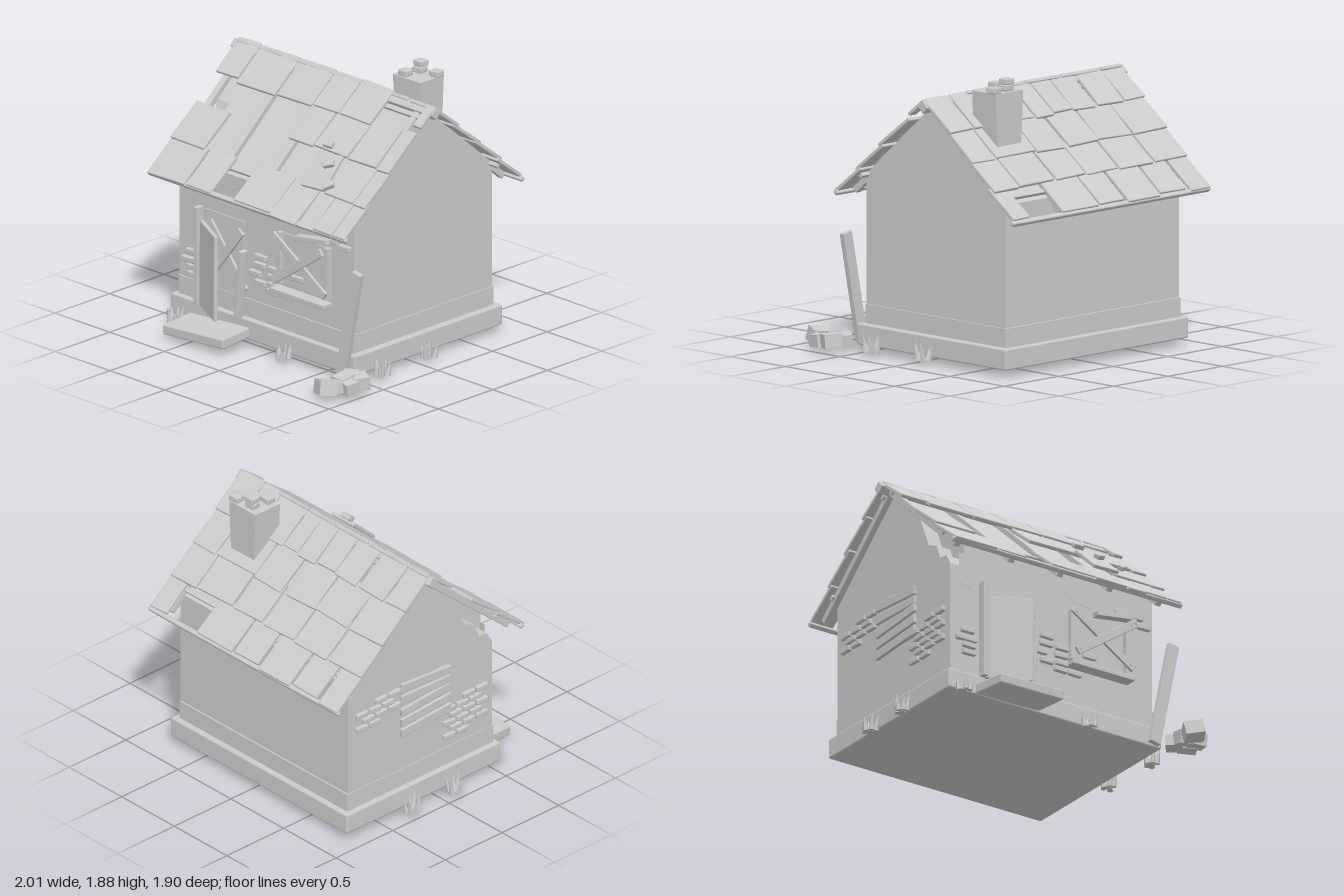
import * as THREE from 'three';
import { RoundedBoxGeometry } from 'three/addons/geometries/RoundedBoxGeometry.js';

const grey = new THREE.MeshStandardMaterial({ color: 0xcccccc });
const faceted = new THREE.MeshStandardMaterial({ color: 0xcccccc, flatShading: true });

export function createModel() {
  const root = new THREE.Group();
  root.name = 'ruinedCottage';
  let seed = 7;
  const rnd = (a, b) => {
    seed = (seed * 16807) % 2147483647;
    return a + (b - a) * seed / 2147483647;
  };
  const group = (name, parent = root) => {
    const g = new THREE.Group();
    g.name = name;
    parent.add(g);
    return g;
  };
  const add = (parent, name, geo, mat = grey) => {
    const m = new THREE.Mesh(geo, mat);
    m.name = name;
    parent.add(m);
    return m;
  };
  // Softly bevelled block: size, position, rotation
  const block = (parent, name, [w, h, d], p, r = [0, 0, 0], bevel = 0.006) => {
    const m = add(parent, name, new RoundedBoxGeometry(w, h, d, 1, Math.min(bevel, w / 3, h / 3, d / 3)));
    m.position.set(...p);
    m.rotation.set(...r);
    return m;
  };
  // Board between two points in the front plane
  const board = (parent, name, x0, y0, x1, y1, w, z, t = 0.02) =>
    block(parent, name, [Math.hypot(x1 - x0, y1 - y0), w, t], [(x0 + x1) / 2, (y0 + y1) / 2, z],
      [0, 0, Math.atan2(y1 - y0, x1 - x0)], 0.004);
  // Slice of the house cross-section (z, y) between two x positions
  const slice = (name, pts, x0, x1) => {
    const s = new THREE.Shape(pts.map(([z, y]) => new THREE.Vector2(-z, y)));
    const geo = new THREE.ExtrudeGeometry(s, { depth: x1 - x0, bevelEnabled: false });
    geo.rotateY(Math.PI / 2);
    add(root, name, geo).position.x = x0;
  };

  // Plinth, skirting and walls; the left front corner is broken away
  block(root, 'plinth', [1.68, 0.14, 1.36], [-0.05, 0.112, -0.124], [0, 0, 0], 0.012);
  block(root, 'skirting', [1.6, 0.16, 1.285], [-0.053, 0.23, -0.122], [0, 0, 0], 0.003);
  const backHalf = [[-0.12, 1.67], [-0.755, 1.12], [-0.755, 0.17], [0.513, 0.17]];
  slice('mainWalls', [...backHalf, [0.513, 1.12]], -0.74, 0.743);
  slice('brokenLeftWall', [...backHalf, [0.513, 0.95], [0.47, 1.02], [0.4, 1.03], [0.36, 1.13],
    [0.27, 1.17], [0.22, 1.29], [0.16, 1.425]], -0.85, -0.74);

  // Flaked plaster patches
  const patch = (pts, x, z, ry = 0) => {
    const s = new THREE.Shape(pts.map((p) => new THREE.Vector2(...p)));
    const m = add(root, 'plasterPatch', new THREE.ExtrudeGeometry(s, { depth: 0.004, bevelEnabled: false }));
    m.position.set(x, 0, z);
    m.rotation.y = ry;
  };
  patch([[-0.78, 0.83], [-0.67, 0.8], [-0.5, 0.92], [-0.33, 1.04], [-0.78, 1.04]], 0, 0.511);
  patch([[0.06, 0.98], [0.13, 0.92], [0.25, 0.92], [0.28, 0.97], [0.17, 1.02]], 0, 0.511);
  patch([[-0.2, 0.6], [-0.12, 0.65], [0.2, 0.6], [0.28, 0.5], [0.05, 0.39], [-0.19, 0.44]], 0, 0.511);
  patch([[-0.54, 1.17], [-0.42, 1.15], [-0.38, 1.25], [-0.44, 1.32], [-0.53, 1.3]], -0.848, 0, -Math.PI / 2);

  // Roof slopes: local z runs down the slope, local y points outward
  const A = 0.716, SIN = Math.sin(A), COS = Math.cos(A);
  const roof = group('roof');
  const slope = (name, side, rows) => {
    const g = group(name, roof);
    g.position.set(0, 1.775, -0.12);
    g.rotation.x = side * A;
    for (const x of [-0.87, -0.44, -0.055, 0.335, 0.72])
      block(g, 'rafter', [0.045, 0.045, 1.0], [x, -0.065, side * 0.545], [0, 0, 0], 0.005);
    for (const d of [0.11, 0.87])
      block(g, 'purlin', [1.72, 0.03, 0.035], [-0.05, -0.055, side * d], [0, 0, 0], 0.005);
    block(g, 'eaveBatten', [1.81, 0.035, 0.035], [-0.05, -0.032, side * 1.095], [0, 0, 0], 0.01);
    // Each tile: left x, right x, start and end distance down the slope
    for (const row of rows) for (const [x0, x1, d0, d1] of row) {
      const len = d1 - d0 + 0.035;
      block(g, 'roofTile', [x1 - x0, 0.026, len], [(x0 + x1) / 2, -0.024 + rnd(-0.003, 0.003), side * (d1 - len / 2)],
        [-side * 0.06, rnd(-0.035, 0.035), rnd(-0.008, 0.008)], 0.007);
    }
    return g;
  };
  // Front tiles are listed by height, back tiles by depth
  const byY = (list) => list.map(([a, b, hi, lo]) => [a, b, Math.max(0.035, (1.775 - hi) / SIN), (1.775 - lo) / SIN]);
  const byZ = (near, far, xs) => xs.map(([a, b]) =>
    [a, b, (-0.12 - near) / COS + 0.02, (-0.12 - far) / COS + rnd(-0.015, 0.015)]);
  const front = slope('frontRoof', 1, [
    byY([[-0.94, -0.745, 1.77, 1.585], [-0.73, -0.385, 1.75, 1.565], [-0.37, -0.06, 1.76, 1.575],
      [-0.05, 0.18, 1.75, 1.585], [0.19, 0.47, 1.77, 1.585], [0.79, 0.86, 1.74, 1.645]]),
    byY([[-0.07, 0.15, 1.58, 1.405], [0.16, 0.465, 1.58, 1.41], [0.475, 0.725, 1.59, 1.405], [0.735, 0.845, 1.6, 1.4]]),
    byY([[-0.945, -0.64, 1.41, 1.23], [0.47, 0.73, 1.4, 1.22], [0.735, 0.845, 1.4, 1.215]]),
    byY([[-0.945, -0.615, 1.22, 1.045], [-0.6, -0.375, 1.23, 1.05], [-0.17, 0.165, 1.23, 1.055], [0.17, 0.41, 1.22, 1.04],
      [0.42, 0.56, 1.21, 1.04], [0.565, 0.73, 1.22, 1.05], [0.735, 0.845, 1.22, 1.05]]),
  ]);
  slope('backRoof', -1, [
    byZ(-0.14, -0.36, [[-0.945, -0.76], [-0.75, -0.52], [-0.49, -0.29], [-0.28, -0.11], [-0.1, 0.06], [0.07, 0.2],
      [0.21, 0.46], [0.46, 0.62], [0.635, 0.845]]),
    byZ(-0.34, -0.56, [[-0.945, -0.635], [-0.625, -0.32], [-0.31, -0.04], [0, 0.25], [0.26, 0.62], [0.63, 0.84]]),
    byZ(-0.53, -0.75, [[-0.945, -0.645], [-0.625, -0.32], [-0.305, -0.02], [-0.005, 0.26], [0.28, 0.6], [0.61, 0.84]]),
    byZ(-0.73, -0.945, [[-0.945, -0.77], [-0.74, -0.51], [-0.49, -0.2], [-0.175, 0.05], [0.065, 0.395], [0.695, 0.845]]),
  ]);
  // Slipped tile and loose bricks on the front slope
  block(front, 'slippedTile', [0.2, 0.026, 0.27], [0.37, 0.012, 0.71], [0.02, 0.06, 0]);
  for (const [x, d, r] of [[0.305, 0.53, 0], [0.405, 0.66, 0.5], [0.51, 0.8, 0.7]])
    block(front, 'looseBrick', [0.08, 0.035, 0.045], [x, 0.04, d], [0, r, 0], 0.008);
  block(roof, 'ridgeBeam', [1.84, 0.066, 0.066], [-0.055, 1.697, -0.12], [Math.PI / 4, 0, 0], 0.008);

  // Chimney, narrower towards its foot, with loose bricks
  const chimney = group('chimney');
  const stack = new THREE.BoxGeometry(0.25, 0.5, 0.215);
  const sp = stack.attributes.position;
  for (let i = 0; i < sp.count; i++) if (sp.getY(i) < 0) sp.setX(i, sp.getX(i) * 0.82);
  stack.computeVertexNormals();
  add(chimney, 'chimneyStack', stack).position.set(0.44, 1.54, -0.383);
  for (const [x, y, z, r] of [[0.41, 1.81, -0.43, 0.1], [0.41, 1.852, -0.435, 0], [0.54, 1.81, -0.45, 0.05], [0.39, 1.812, -0.315, 0]])
    block(chimney, 'chimneyBrick', [0.078, 0.042, 0.07], [x, y, z], [0, r, 0.04], 0.009);

  // Doorway with leaning posts, crossed boards and a hanging door
  const door = group('doorway');
  block(door, 'doorRecess', [0.36, 0.65, 0.012], [-0.43, 0.505, 0.512]);
  board(door, 'doorPost', -0.622, 0.18, -0.622, 0.85, 0.036, 0.565, 0.06);
  board(door, 'doorPost', -0.26, 0.18, -0.215, 0.65, 0.036, 0.565, 0.06);
  board(door, 'doorBoard', -0.57, 0.36, -0.25, 0.77, 0.06, 0.545);
  board(door, 'doorBoard', -0.56, 0.76, -0.23, 0.36, 0.06, 0.53);
  const leaf = block(door, 'doorLeaf', [0.31, 0.59, 0.03], [-0.462, 0.465, 0.632], [0, -0.48, -0.02]);
  leaf.rotation.order = 'YXZ';
  block(root, 'doorStep', [0.52, 0.07, 0.27], [-0.425, 0.075, 0.69], [0.05, 0.06, 0.04], 0.012);

  // Front window, boarded with a cross
  const win = group('frontWindow');
  block(win, 'windowRecess', [0.46, 0.36, 0.012], [0.315, 0.67, 0.512]);
  for (const x of [0.095, 0.53]) board(win, 'windowPost', x, 0.5, x, 0.86, 0.035, 0.535, 0.04);
  block(win, 'windowSill', [0.49, 0.035, 0.09], [0.305, 0.465, 0.557]);
  const crosses = [[0.07, 0.85, 0.55, 0.54], [0.09, 0.54, 0.54, 0.85]];
  crosses.forEach(([x0, y0, x1, y1], i) => {
    const z = 0.585 + i * 0.02;
    board(win, 'crossBoard', x0, y0, x1, y1, 0.058, z);
    for (const t of [0.06, 0.94]) {
      const nail = add(win, 'nail', new THREE.CylinderGeometry(0.009, 0.009, 0.008, 8));
      nail.rotation.x = Math.PI / 2;
      nail.position.set(x0 + (x1 - x0) * t, y0 + (y1 - y0) * t, z + 0.012);
    }
  });
  board(win, 'windowLintel', 0.27, 0.87, 0.55, 0.91, 0.035, 0.55, 0.06);

  // Exposed bricks on the front wall
  const bricks = group('exposedBricks');
  for (const [x, y] of [[-0.72, 0.5], [-0.76, 0.44], [-0.7, 0.44], [-0.71, 0.395], [-0.71, 0.345],
    [-0.095, 0.625], [-0.1, 0.57], [0.025, 0.57], [-0.145, 0.505], [0.02, 0.515], [-0.095, 0.45], [0.025, 0.46],
    [0.015, 0.415], [0.125, 0.415], [0.24, 0.565], [0.49, 0.945], [0.61, 0.945], [0.56, 0.91], [0.67, 0.89]])
    block(bricks, 'brick', [0.102, 0.038, 0.04], [x, y, 0.52], [0, 0, rnd(-0.04, 0.04)], 0.008);
  // Exposed bricks on the left wall: centre z, centre y, rows, columns
  for (const [z, y, rows, cols] of [[-0.5, 0.84, 4, 3], [0.27, 0.52, 6, 3]])
    for (let r = 0; r < rows; r++) for (let c = 0; c < cols; c++) {
      if ((r === 0 || r === rows - 1) && c === (r ? 0 : cols - 1)) continue;
      block(bricks, 'brick', [0.035, 0.038, 0.1],
        [-0.858, y + (r - (rows - 1) / 2) * 0.05, z + (c - (cols - 1) / 2) * 0.115 + (r % 2 ? 0.028 : -0.028)],
        [rnd(-0.04, 0.04), 0, 0], 0.008);
    }

  // Left window closed with uneven planks
  const side = group('leftWindow');
  block(side, 'windowRecess', [0.012, 0.36, 0.4], [-0.85, 0.755, -0.08]);
  for (let i = 0; i < 5; i++)
    block(side, 'windowPlank', [0.025, 0.06, 0.44], [-0.862, 0.6 + i * 0.078, -0.08], [rnd(-0.08, 0.08), 0, 0]);

  // Plank leaning on the right front corner
  board(root, 'leaningPlank', 0.708, 0.05, 0.855, 0.785, 0.078, 0.59, 0.04);

  // Rubble heap
  const rubble = group('rubble');
  for (const [x, y, z, s] of [[0.84, 0.07, 0.63, 0.11], [0.93, 0.075, 0.65, 0.12], [0.86, 0.075, 0.72, 0.12],
    [0.93, 0.065, 0.75, 0.11], [0.83, 0.065, 0.86, 0.13], [0.87, 0.065, 0.8, 0.1]]) {
    const m = add(rubble, 'rubbleStone', new THREE.BoxGeometry(s, s * 0.75, s * 0.9), faceted);
    m.position.set(x, y, z);
    m.rotation.set(rnd(-0.2, 0.2), rnd(-0.9, 0.9), rnd(-0.2, 0.2));
  }

  // Grass tufts around the plinth
  for (const [x, z] of [[0.19, 0.6], [-0.8, 0.6], [0.85, 0.36], [0.83, -0.09], [-0.94, 0.1], [-0.93, -0.27]]) {
    const tuft = group('grassTuft');
    tuft.position.set(x, 0.02, z);
    for (let i = 0; i < 6; i++) {
      const h = rnd(0.08, 0.14), a = i * 1.05 + rnd(-0.3, 0.3), r = i ? 0.035 : 0;
      const geo = new THREE.ConeGeometry(0.022, h, 5);
      geo.translate(0, h / 2, 0);
      const blade = add(tuft, 'grassBlade', geo, faceted);
      blade.position.set(Math.cos(a) * r, 0, Math.sin(a) * r);
      blade.rotation.set(Math.sin(a) * 0.2, 0, -Math.cos(a) * 0.2);
    }
  }
  return root;
}
